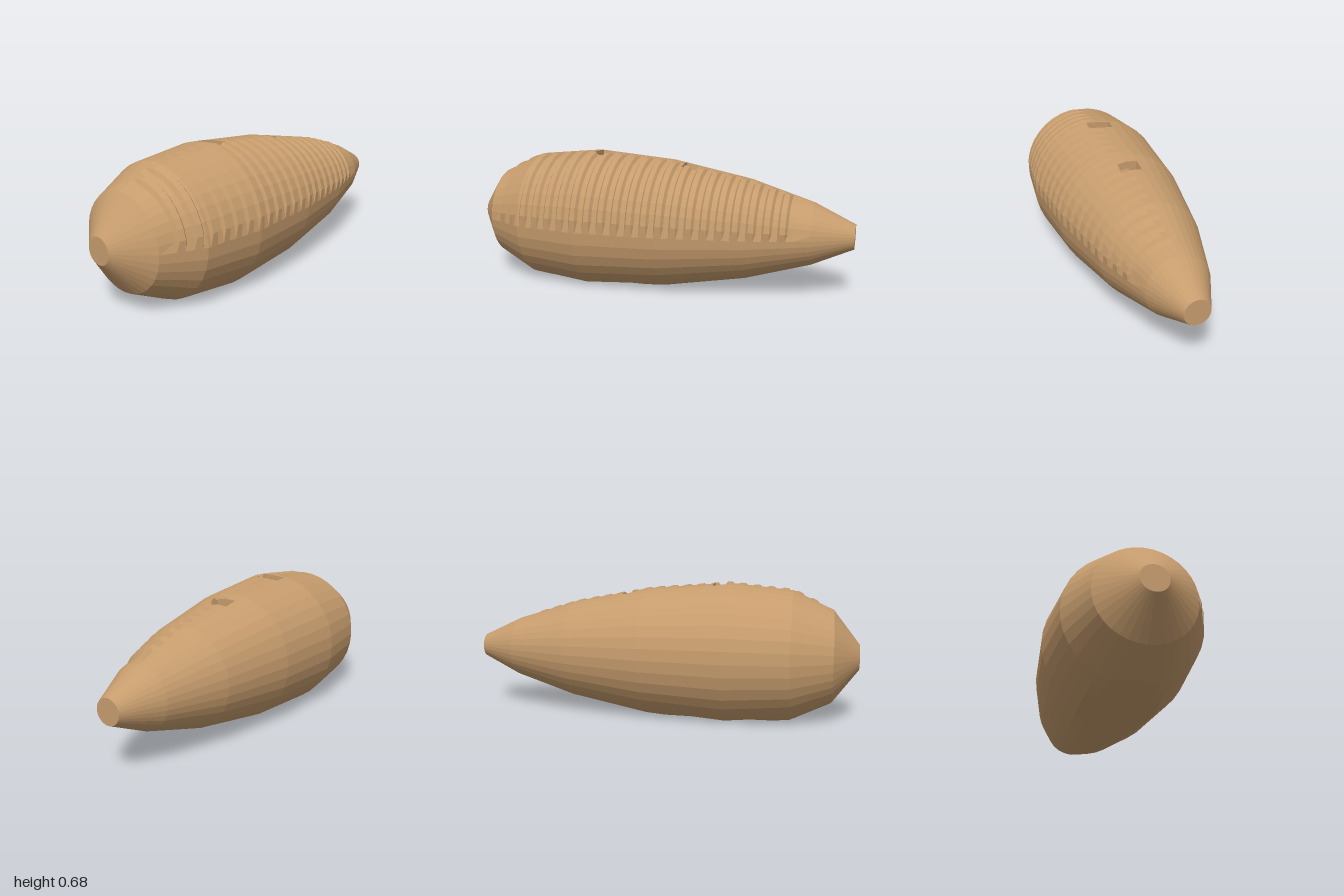
import * as THREE from 'three';

const AXIS_Y = 0.318, SIDES = 36;
// gourd outline: [x, radius]
const PROFILE = [[-1, 0.065], [-0.87, 0.235], [-0.67, 0.33], [-0.35, 0.363],
  [0.07, 0.33], [0.48, 0.253], [0.8, 0.155], [1, 0.062]];
const RIDGES = 21, RIDGE_START = -0.8, PITCH = 1.52 / RIDGES;
const SLOTS = [[-0.337, -0.265], [0.133, 0.208]];
const EPS = 1e-5;

function radiusAt(x) {
  let k = 0;
  while (k < PROFILE.length - 2 && x > PROFILE[k + 1][0]) k++;
  const [x0, r0] = PROFILE[k], [x1, r1] = PROFILE[k + 1];
  return r0 + (r1 - r0) * (x - x0) / (x1 - x0);
}

// height of the scraped ridges above the smooth outline
function ridgeHeight(x) {
  const t = (x - RIDGE_START) / PITCH;
  if (t < -EPS || t > RIDGES + EPS) return 0;
  const f = t + EPS - Math.floor(t + EPS);
  const up = THREE.MathUtils.clamp(Math.min(f / 0.15, (0.65 - f) / 0.15), 0, 1);
  return -0.006 + 0.014 * up;
}

// point on the surface at station x and side number j; the underside is cut flat
function point(x, j, scale = 1) {
  const s = (j + SIDES) % SIDES, a = s / SIDES * Math.PI * 2;
  const r = (radiusAt(x) + (s > 0 && s < 9 ? ridgeHeight(x) : 0)) * scale;
  return [x, Math.max(0, AXIS_Y + r * Math.sin(a)), r * Math.cos(a)];
}

function quadMesh(name, quads, material) {
  const pos = [];
  for (const [a, b, c, d] of quads) pos.push(...a, ...b, ...c, ...a, ...c, ...d);
  const geo = new THREE.BufferGeometry();
  geo.setAttribute('position', new THREE.Float32BufferAttribute(pos, 3));
  geo.computeVertexNormals();
  const mesh = new THREE.Mesh(geo, material);
  mesh.name = name;
  return mesh;
}

export function createModel() {
  const group = new THREE.Group();
  group.name = 'gourdScraper';
  const wood = new THREE.MeshStandardMaterial({ color: 0xc69c6d, flatShading: true, side: THREE.DoubleSide });

  // stations along the length: outline, ridge corners and slot edges
  let xs = [...PROFILE.map(p => p[0]), ...SLOTS.flat()];
  for (let k = 0; k < RIDGES; k++)
    for (const f of [0, 0.15, 0.5, 0.65]) xs.push(RIDGE_START + (k + f) * PITCH);
  xs.push(RIDGE_START + RIDGES * PITCH);
  xs = xs.sort((a, b) => a - b).filter((x, i, l) => i === 0 || x - l[i - 1] > EPS);

  // hollow shell, with the cells of the two slots left open
  const shell = [], ridges = [];
  for (let i = 0; i < xs.length - 1; i++) {
    const x0 = xs[i], x1 = xs[i + 1], mid = (x0 + x1) / 2;
    const inSlot = SLOTS.some(([a, b]) => mid > a && mid < b);
    const inRidges = mid > RIDGE_START && mid < RIDGE_START + RIDGES * PITCH;
    for (let j = 0; j < SIDES; j++) {
      if (inSlot && (j === 8 || j === 9)) continue;
      (inRidges && j < 9 ? ridges : shell).push(
        [point(x0, j), point(x1, j), point(x1, j + 1), point(x0, j + 1)]);
    }
  }
  group.add(quadMesh('body', shell, wood), quadMesh('ridges', ridges, wood));

  // flat ends
  for (const side of [-1, 1]) {
    const cap = new THREE.Mesh(new THREE.CircleGeometry(radiusAt(side), SIDES), wood);
    cap.rotation.y = side * Math.PI / 2;
    cap.position.set(side, AXIS_Y, 0);
    cap.name = side < 0 ? 'bluntEnd' : 'narrowEnd';
    group.add(cap);
  }

  // short walls around each slot, showing the thickness of the shell
  const IN = 0.88;
  SLOTS.forEach(([a, b], n) => {
    const walls = [], cuts = xs.filter(x => x > a - EPS && x < b + EPS);
    for (const x of [a, b]) for (const j of [8, 9])
      walls.push([point(x, j), point(x, j + 1), point(x, j + 1, IN), point(x, j, IN)]);
    for (const j of [8, 10]) for (let i = 0; i < cuts.length - 1; i++)
      walls.push([point(cuts[i], j), point(cuts[i + 1], j), point(cuts[i + 1], j, IN), point(cuts[i], j, IN)]);
    group.add(quadMesh('slotWalls' + (n + 1), walls, wood));
  });
  return group;
}
